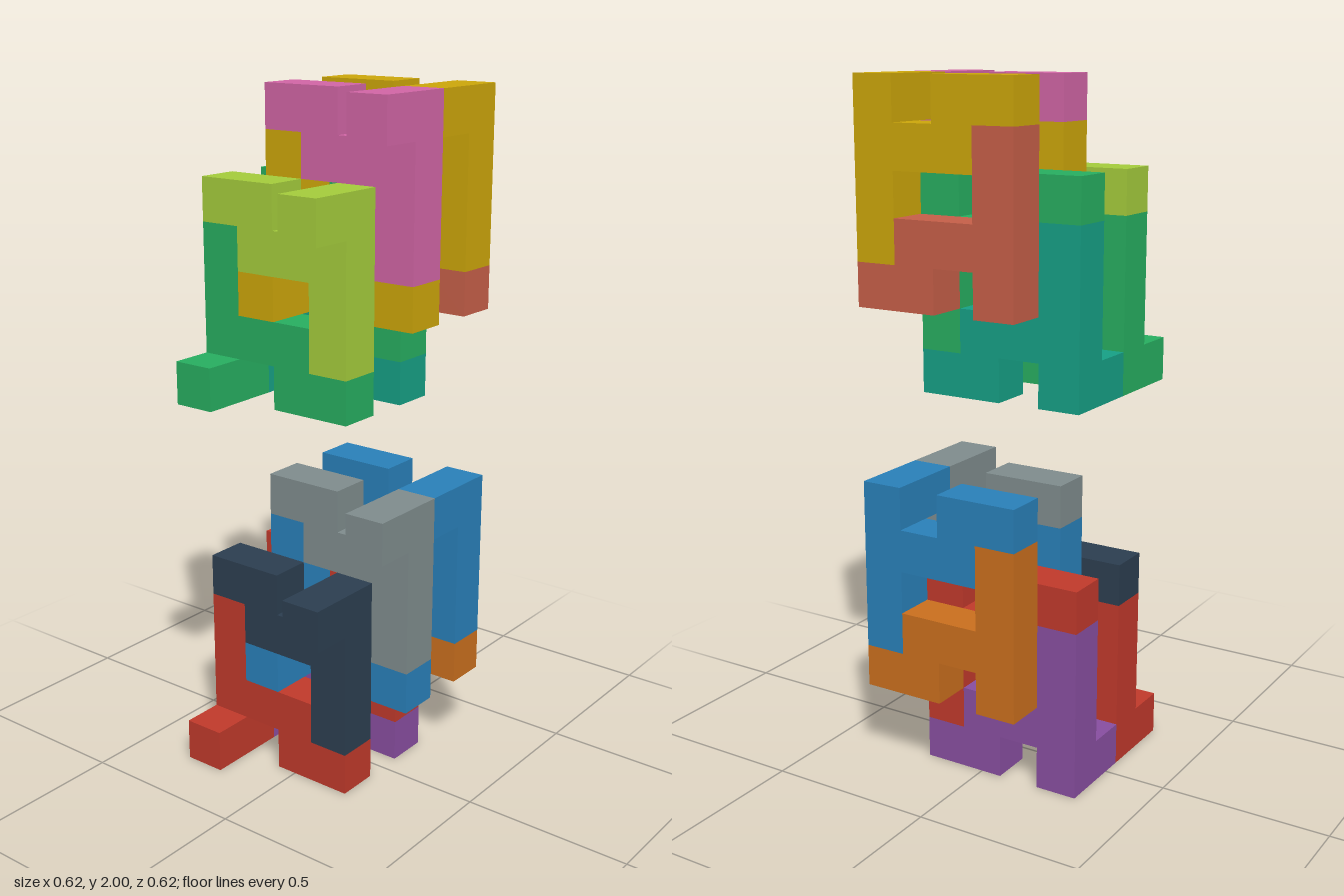
import * as THREE from 'three';
import { mergeGeometries } from 'three/addons/utils/BufferGeometryUtils.js';

const U = 0.125; // edge of one cube cell

// Outlines in cells, seen from the side (first value runs front to back, second is height)
const HOOK = [[0, 3], [1, 3], [1, 5], [3, 5], [3, 6], [4, 6], [4, 7], [2, 7], [2, 6], [1, 6], [1, 7], [0, 7]];
const FORK = [[0, 2], [2, 2], [2, 3], [3, 3], [3, 2], [4, 2], [4, 6], [3, 6], [3, 4], [1, 4], [1, 3], [0, 3]];

// Flat piece one cell thick, with a peg one cell long pointing to -x
function pieceGeometry(outline, pegCell) {
  const pts = outline.map(([u, v]) => new THREE.Vector2((u - 2.5) * U, (v - 3.5) * U));
  const plate = new THREE.ExtrudeGeometry(new THREE.Shape(pts), { depth: U, bevelEnabled: false });
  plate.rotateY(Math.PI / 2);
  const peg = new THREE.BoxGeometry(U, U, U).toNonIndexed();
  peg.translate(-U / 2, (pegCell[1] - 3) * U, (2 - pegCell[0]) * U);
  return mergeGeometries([plate, peg]);
}

export function createModel() {
  const model = new THREE.Group();
  model.name = 'interlockingPuzzle';
  const hook = pieceGeometry(HOOK, [0, 6]);
  const fork = pieceGeometry(FORK, [3, 2]);

  // Layers from left to right: cell column, turned upside down, hook colour, fork colour
  const layers = [
    [4, false, 'second', 'third'],
    [3, true, 'fourth', 'fifth'],
    [2, false, 'first', 'second'],
    [1, true, 'fifth', 'sixth'],
  ];

  function addAssembly(name, y, palette) {
    const assembly = new THREE.Group();
    assembly.name = name;
    assembly.position.y = y;
    const mats = {};
    for (const key in palette) {
      mats[key] = new THREE.MeshStandardMaterial({ color: palette[key] });
    }
    layers.forEach(([column, turned, hookColor, forkColor], i) => {
      const layer = new THREE.Group();
      layer.name = `layer${i + 1}`;
      layer.position.x = (column - 2.5) * U;
      if (turned) layer.rotation.x = Math.PI;
      const hookMesh = new THREE.Mesh(hook, mats[hookColor]);
      hookMesh.name = 'hookPiece';
      const forkMesh = new THREE.Mesh(fork, mats[forkColor]);
      forkMesh.name = 'forkPiece';
      layer.add(hookMesh, forkMesh);
      assembly.add(layer);
    });
    model.add(assembly);
  }

  // Two identical assemblies, one above the other
  addAssembly('lowerAssembly', 3.5 * U, {
    first: 0x7f8c8d, second: 0x2980b9, third: 0xca6f1e,
    fourth: 0x884ea0, fifth: 0xc0392b, sixth: 0x2c3e50,
  });
  addAssembly('upperAssembly', 12.5 * U, {
    first: 0xd165a5, second: 0xcca60a, third: 0xc65f48,
    fourth: 0x16a085, fifth: 0x27ae60, sixth: 0xa4cc3c,
  });
  return model;
}
